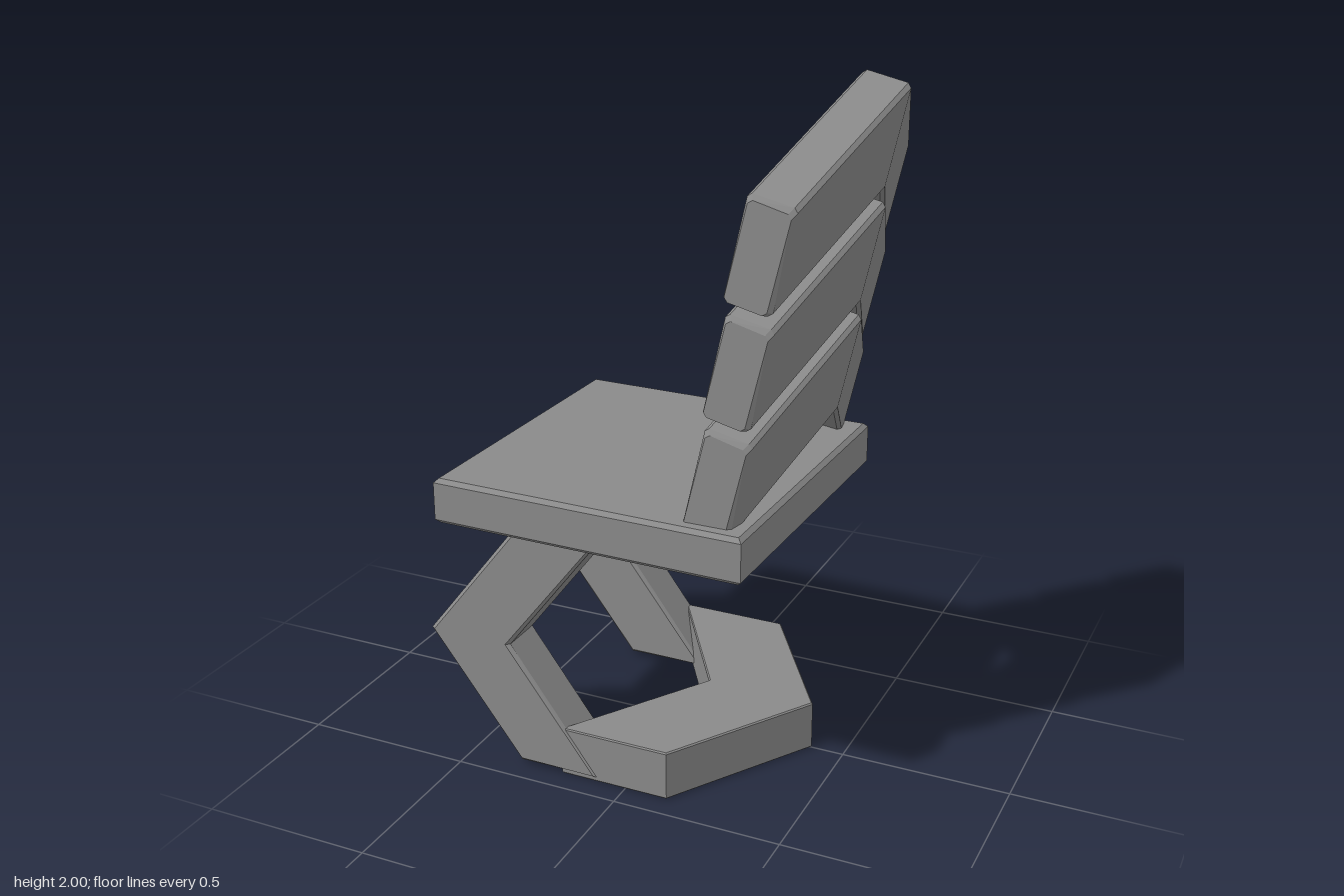
import * as THREE from 'three';

const material = new THREE.MeshStandardMaterial({ color: 0x8a8a8a, flatShading: true, side: THREE.DoubleSide });

// Flat board cut from an outline, with chamfered edges, running from depth 0 to depth
function board(points, depth, bevel = 0.01) {
  const shape = new THREE.Shape(points.map(([x, y]) => new THREE.Vector2(x, y)));
  return new THREE.ExtrudeGeometry(shape, {
    depth: depth - 2 * bevel, bevelEnabled: true, bevelSegments: 1,
    bevelSize: bevel, bevelThickness: bevel, bevelOffset: -bevel,
  }).translate(0, 0, bevel);
}

// Swept chevron slat: a chamfered section lofted from one end over the peak to the other
function slatGeometry() {
  const corners = [[0.35, 1.757], [0.285, 1.474], [0.418, 1.447], [0.482, 1.727]].map(c => new THREE.Vector2(...c));
  const centre = new THREE.Vector2(0.384, 1.601), chamfer = 0.011, half = 0.438;
  const section = [];
  corners.forEach((c, i) => {
    for (const j of [3, 1]) {
      const dir = corners[(i + j) % 4].clone().sub(c).setLength(chamfer);
      section.push(c.clone().add(dir));
    }
  });
  // each ring: z position and inset of the section
  const rings = [[-half, chamfer], [-half + chamfer, 0], [0, 0], [half - chamfer, 0], [half, chamfer]];
  const positions = [], indices = [], n = section.length;
  for (const [z, inset] of rings) {
    const rise = 1 - Math.abs(z) / half;
    for (const p of section) {
      const x = p.x - Math.sign(p.x - centre.x) * inset * 0.8;
      const y = p.y - Math.sign(p.y - centre.y) * inset * 0.8;
      positions.push(x + 0.138 * rise, y + 0.247 * rise, z);
    }
  }
  for (let r = 0; r < rings.length - 1; r++) {
    for (let i = 0; i < n; i++) {
      const a = r * n + i, b = r * n + (i + 1) % n;
      indices.push(a, b, b + n, a, b + n, a + n);
    }
  }
  const last = (rings.length - 1) * n;
  for (let i = 1; i < n - 1; i++) {
    indices.push(0, i + 1, i, last, last + i, last + i + 1);
  }
  const geometry = new THREE.BufferGeometry();
  geometry.setAttribute('position', new THREE.Float32BufferAttribute(positions, 3));
  geometry.setIndex(indices);
  const flat = geometry.toNonIndexed();
  flat.computeVertexNormals();
  return flat;
}

export function createModel() {
  const model = new THREE.Group();
  model.name = 'chair';
  const add = (name, geometry) => {
    const mesh = new THREE.Mesh(geometry, material);
    mesh.name = name;
    model.add(mesh);
    return mesh;
  };

  // Square seat, turned very slightly
  const s = 0.469;
  const seat = add('seat', board([[-s, -s], [s, -s], [s, s], [-s, s]], 0.135, 0.012).rotateX(-Math.PI / 2));
  seat.position.set(-0.0915, 0.73, -0.001);
  seat.rotation.y = -0.02;

  // Three stacked back slats, stepping down and forward
  const slat = slatGeometry();
  for (let i = 0; i < 3; i++) {
    add('backSlat' + (i + 1), slat).position.set(-0.055 * i, -0.313 * i, -0.004);
  }

  // Bent legs on both sides, their tops let into the seat
  const leg = board([[-0.335, 0.01], [-0.085, 0.012], [-0.36, 0.38], [-0.07, 0.755], [-0.325, 0.755], [-0.62, 0.38]], 0.146);
  for (const [name, z] of [['leftSideLeg', 0.29], ['rightSideLeg', -0.436]]) {
    add(name, leg).position.z = z;
  }

  // Chevron floor base with its point at the back
  const base = board([[-0.2, -0.43], [0.13, -0.43], [0.402, 0], [0.13, 0.43], [-0.2, 0.43], [0.07, 0]], 0.148, 0.004);
  add('base', base.rotateX(-Math.PI / 2));

  return model;
}
